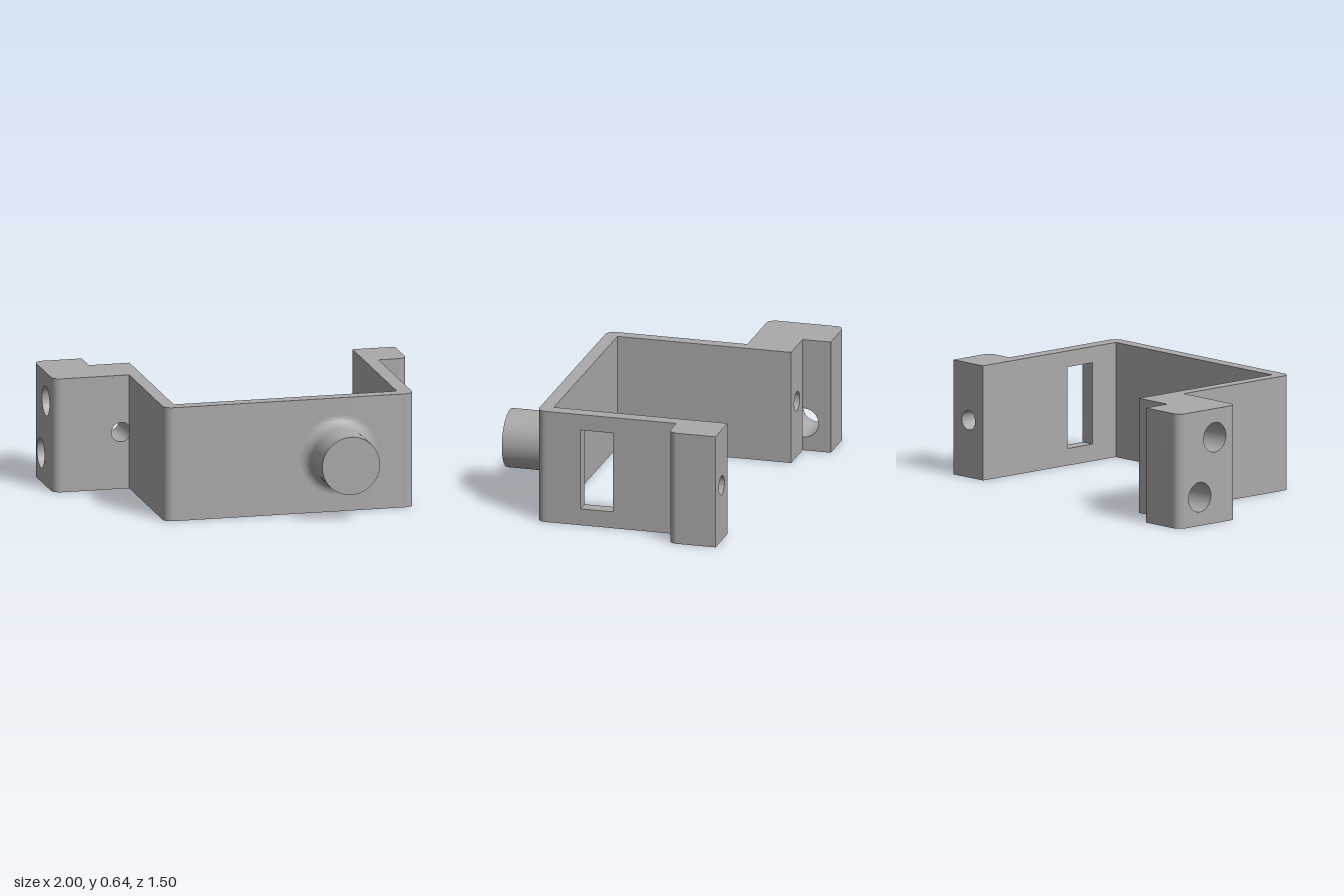
import * as THREE from 'three';
import { toCreasedNormals } from 'three/addons/utils/BufferGeometryUtils.js';

const H = 0.64; // bracket height
const R = 0.05; // vertical corner radius

// Rectangle with its own radius per corner: (a0,b0), (a1,b0), (a1,b1), (a0,b1)
function rect(a0, a1, b0, b1, radii = [0, 0, 0, 0]) {
  const s = new THREE.Shape();
  const corners = [[a0, b0, 1, 1], [a1, b0, -1, 1], [a1, b1, -1, -1], [a0, b1, 1, -1]];
  corners.forEach(([a, b, sa, sb], i) => {
    const r = radii[i];
    if (r) s.absarc(a + sa * r, b + sb * r, r, Math.PI * (1 + i / 2), Math.PI * (1.5 + i / 2), false);
    else if (i) s.lineTo(a, b);
    else s.moveTo(a, b);
  });
  s.closePath();
  return s;
}

function hole(shape, a, b, r) {
  shape.holes.push(new THREE.Path().absarc(a, b, r, 0, Math.PI * 2, true));
  return shape;
}

function extrude(shape, depth) {
  return new THREE.ExtrudeGeometry(shape, { depth, bevelEnabled: false, curveSegments: 20 });
}

// Plan shape (x, z) raised to the full height
const upright = (shape) => extrude(shape, H).rotateX(Math.PI / 2).translate(0, H, 0);
// Side shape (z, y) extruded from x0 to x1
const alongX = (shape, x0, x1) => extrude(shape, x1 - x0).rotateY(-Math.PI / 2).translate(x1, 0, 0);
// Front shape (x, y) extruded from z0 to z1
const alongZ = (shape, z0, z1) => extrude(shape, z1 - z0).translate(0, 0, z0);

export function createModel() {
  const model = new THREE.Group();
  model.name = 'bracket';
  const grey = new THREE.MeshStandardMaterial({ color: 0xaaaaaa });
  grey.name = 'grey';

  function add(name, geometry, parent = model) {
    const mesh = new THREE.Mesh(toCreasedNormals(geometry, 0.6), grey);
    mesh.name = name;
    parent.add(mesh);
  }

  // U-shaped body
  add('frontWall', upright(rect(-0.57, 0.84, 0.4, 0.475, [0, 0, R, R])));
  add('rightWall', upright(rect(-0.57, -0.5, -0.32, 0.4)));
  const slotted = rect(-0.32, 0.4, 0, H);
  slotted.holes.push(rect(0.04, 0.225, 0.095, 0.55));
  add('leftSlottedWall', alongX(slotted, 0.76, 0.84));

  // Left ear with a screw hole running front to back
  const leftEar = new THREE.Group();
  leftEar.name = 'leftEar';
  model.add(leftEar);
  add('leftEarCore', alongZ(hole(rect(0.76, 1 - R, 0, H), 0.877, 0.32, 0.054), -0.59, -0.32), leftEar);
  add('leftEarEdge', upright(rect(1 - R, 1, -0.59, -0.32, [0, 0, R, 0])), leftEar);

  // Right ear: inner block with a screw hole, deeper outer block with two side holes
  const rightEar = new THREE.Group();
  rightEar.name = 'rightEar';
  model.add(rightEar);
  add('rightEarInner', alongZ(hole(rect(-0.73, -0.5, 0, H), -0.615, 0.32, 0.055), -0.59, -0.32), rightEar);
  const outer = rect(-0.75 + R, -0.32 - R, 0, H);
  hole(outer, -0.597, 0.16, 0.083);
  hole(outer, -0.485, 0.48, 0.083);
  add('rightEarOuter', alongX(outer, -1, -0.73), rightEar);
  add('rightEarBackEdge', upright(rect(-1, -0.73, -0.75, -0.75 + R, [R, 0, 0, 0])), rightEar);
  add('rightEarFrontEdge', upright(rect(-1, -0.73, -0.32 - R, -0.32, [0, 0, 0, R])), rightEar);

  // Front peg with a filleted foot
  const r = 0.163, f = 0.06;
  const profile = [];
  for (let i = 0; i <= 10; i++) {
    const t = (i / 10) * Math.PI / 2;
    profile.push(new THREE.Vector2(r + f * (1 - Math.sin(t)), f * (1 - Math.cos(t))));
  }
  profile.push(new THREE.Vector2(r, 0.275), new THREE.Vector2(0, 0.275));
  add('peg', new THREE.LatheGeometry(profile, 64).rotateX(Math.PI / 2).translate(0.415, 0.32, 0.475));

  return model;
}
